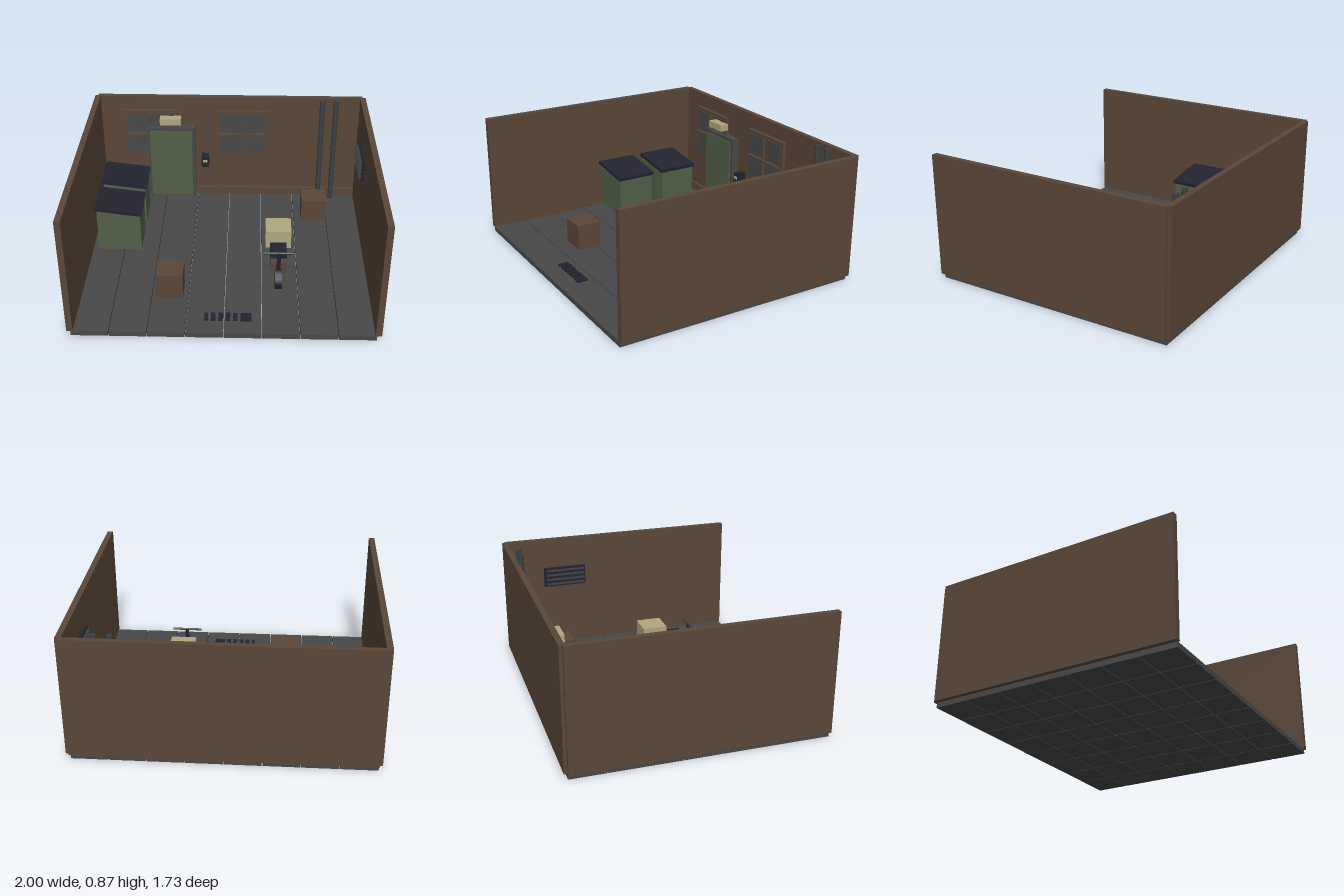
import * as THREE from 'three';

const mat = (name, color) => Object.assign(new THREE.MeshStandardMaterial({ color }), { name });

export function createModel() {
  const brown = mat('brown', 0x5a4738);
  const grey = mat('grey', 0x484848);
  const green = mat('green', 0x526047);
  const navy = mat('navy', 0x232331);
  const cream = mat('cream', 0xb0a67f);
  const metal = mat('darkMetal', 0x3b4143);

  const model = new THREE.Group();
  model.name = 'alley';

  const group = (name, parent = model) => {
    const g = new THREE.Group();
    g.name = name;
    parent.add(g);
    return g;
  };
  // Box given by its extents along each axis
  const box = (parent, name, material, [x0, x1], [y0, y1], [z0, z1]) => {
    const m = new THREE.Mesh(new THREE.BoxGeometry(x1 - x0, y1 - y0, z1 - z0), material);
    m.position.set((x0 + x1) / 2, (y0 + y1) / 2, (z0 + z1) / 2);
    m.name = name;
    parent.add(m);
    return m;
  };
  const cylinder = (parent, name, material, radius, length, sides, x, y, z, axis = 'y') => {
    const m = new THREE.Mesh(new THREE.CylinderGeometry(radius, radius, length, sides), material);
    m.position.set(x, y, z);
    if (axis === 'x') m.rotation.z = Math.PI / 2;
    m.name = name;
    parent.add(m);
    return m;
  };

  // Paved floor with open joints
  const floor = group('floor');
  const pitch = 0.244, tile = 0.239;
  for (let i = 0; i < 8; i++) {
    for (let j = 0; j < 7; j++) {
      const x = -0.976 + i * pitch, z = -0.843 + j * pitch;
      box(floor, 'floorTile', grey, [x, x + tile], [0, 0.035], [z, z + tile]);
    }
  }

  // Walls and skirting
  const walls = group('walls');
  box(walls, 'backWall', brown, [-0.978, 0.978], [0.04, 0.868], [-0.867, -0.83]);
  box(walls, 'rightWall', brown, [-1, -0.96], [0.038, 0.868], [-0.845, 0.865]);
  box(walls, 'leftWall', brown, [0.96, 1], [0.038, 0.868], [-0.845, 0.865]);
  box(walls, 'skirting', brown, [-0.96, 0.96], [0.045, 0.105], [-0.83, -0.81]);

  // Windows: frame, glass and glazing bars
  for (const cx of [-0.592, 0.095]) {
    const w = group('window');
    const cy = 0.577;
    for (const s of [-1, 1]) {
      const xs = [cx + s * 0.2, cx + s * 0.174].sort((a, b) => a - b);
      const ys = [cy + s * 0.187, cy + s * 0.162].sort((a, b) => a - b);
      box(w, 'windowJamb', brown, xs, [cy - 0.187, cy + 0.187], [-0.83, -0.805]);
      box(w, 'windowRail', brown, [cx - 0.174, cx + 0.174], ys, [-0.83, -0.805]);
    }
    box(w, 'windowGlass', grey, [cx - 0.174, cx + 0.174], [cy - 0.162, cy + 0.162], [-0.83, -0.8]);
    box(w, 'verticalBar', brown, [cx - 0.007, cx + 0.007], [cy - 0.162, cy + 0.162], [-0.8, -0.782]);
    box(w, 'horizontalBar', brown, [cx - 0.174, cx + 0.174], [cy - 0.007, cy + 0.007], [-0.8, -0.78]);
  }

  // Door with lamp above
  const door = group('door');
  box(door, 'doorFrame', grey, [-0.623, -0.262], [0.04, 0.635], [-0.83, -0.775]);
  box(door, 'doorPanel', green, [-0.6, -0.286], [0.055, 0.607], [-0.78, -0.765]);
  const lamp = group('doorLamp');
  box(lamp, 'lampBox', cream, [-0.52, -0.364], [0.678, 0.727], [-0.8, -0.735]);
  box(lamp, 'lampMount', metal, [-0.455, -0.42], [0.69, 0.737], [-0.83, -0.795]);

  // Entry keypad
  const pad = group('keypad');
  box(pad, 'keypadBody', navy, [-0.216, -0.16], [0.31, 0.396], [-0.83, -0.762]);
  box(pad, 'keypadScreen', cream, [-0.203, -0.172], [0.352, 0.372], [-0.763, -0.757]);

  // Drain pipes
  for (const x of [0.681, 0.78])
    cylinder(model, 'drainPipe', metal, 0.019, 0.828, 12, x, 0.454, -0.782);

  // Dumpsters with sloping lids
  for (const cz of [-0.507, -0.142]) {
    const d = group('dumpster');
    box(d, 'dumpsterBody', green, [-0.911, -0.608], [0.062, 0.362], [cz - 0.134, cz + 0.134]);
    const lid = box(d, 'dumpsterLid', navy, [-0.925, -0.595], [0.367, 0.391], [cz - 0.147, cz + 0.147]);
    lid.rotation.z = -0.122;
  }

  // Crates
  for (const [x, z] of [[-0.37, 0.423], [0.63, -0.53]])
    box(model, 'crate', brown, [x - 0.09, x + 0.09], [0.036, 0.214], [z - 0.085, z + 0.085]);

  // Wall vent
  const vent = group('wallVent');
  box(vent, 'ventPanel', navy, [0.939, 0.96], [0.503, 0.648], [-0.57, -0.255]);
  for (let i = 0; i < 4; i++) {
    const y = 0.525 + i * 0.035;
    box(vent, 'ventSlat', metal, [0.917, 0.94], [y - 0.004, y + 0.004], [-0.555, -0.268]);
  }

  // Floor grate
  const grate = group('floorGrate');
  for (let i = 0; i < 6; i++) {
    const x = -0.13 + i * 0.048;
    const start = i === 0 ? x : x - 0.005;
    const end = i === 5 ? 0.175 : x + 0.024;
    box(grate, 'grateBar', navy, [start, end], [0.03, 0.046], [0.665, 0.737]);
  }

  // Scooter with delivery box
  const scooter = group('scooter');
  const sx = 0.353;
  for (const z of [0.095, 0.375])
    cylinder(scooter, 'wheel', navy, 0.073, 0.048, 12, sx, 0.113, z, 'x');
  box(scooter, 'scooterBody', brown, [sx - 0.053, sx + 0.053], [0.14, 0.236], [0.075, 0.363]);
  box(scooter, 'seat', navy, [sx - 0.055, sx + 0.055], [0.236, 0.268], [0.165, 0.32]);
  box(scooter, 'deliveryBox', cream, [sx - 0.087, sx + 0.087], [0.225, 0.354], [0.005, 0.177]);
  cylinder(scooter, 'steeringStem', navy, 0.013, 0.17, 8, sx, 0.235, 0.37);
  cylinder(scooter, 'handlebar', metal, 0.008, 0.205, 8, sx, 0.316, 0.372, 'x');

  return model;
}
